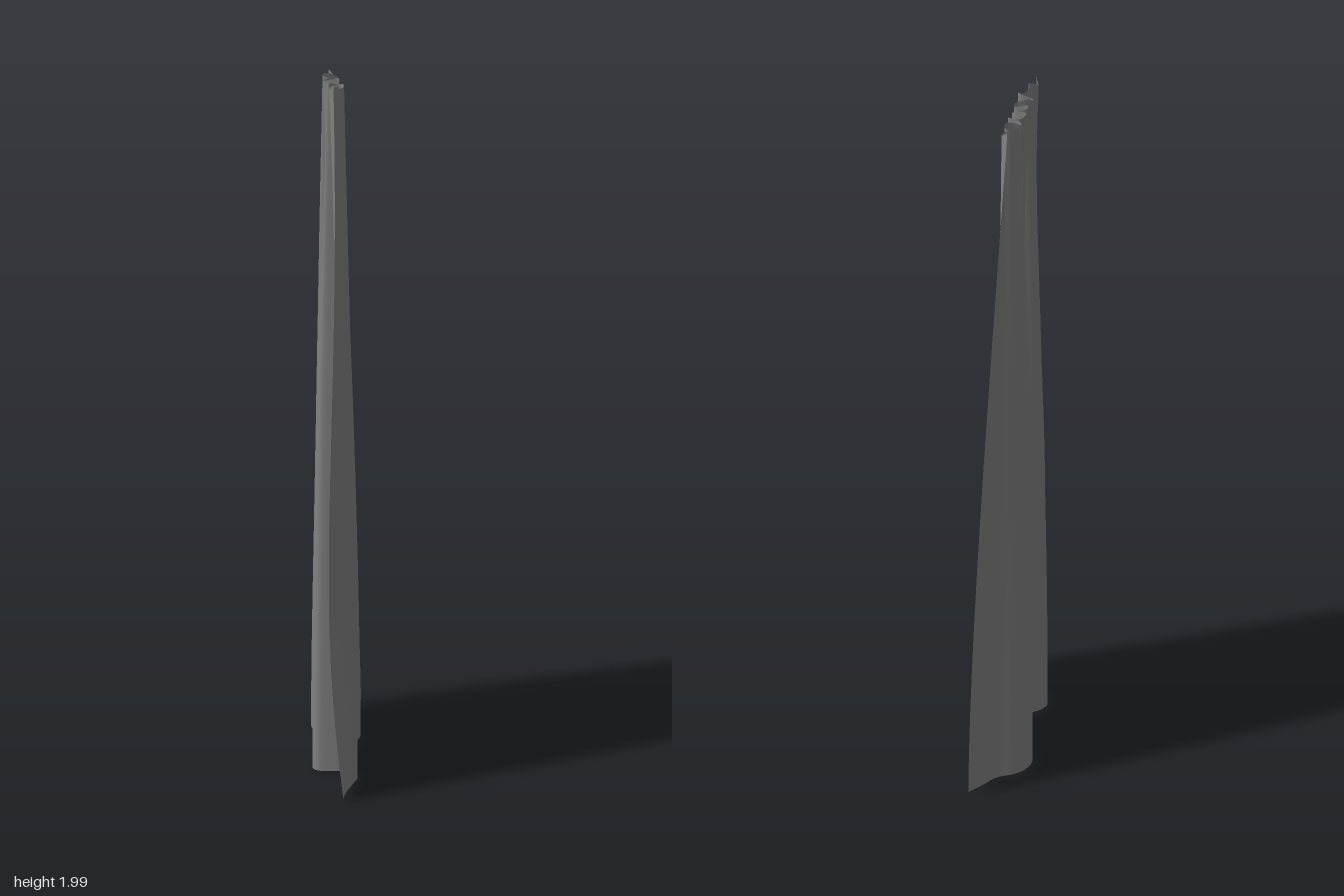
import * as THREE from 'three';

// Hem outlines as [x, z] pairs, running from the back edge to the front edge.
// Matching entries lie on the same pleat line.
const TOP = [
  [-0.02, -0.28], [-0.01, -0.26], [0, -0.24], [-0.025, -0.225], [-0.04, -0.205], [-0.01, -0.195],
  [0.002, -0.175], [-0.01, -0.155], [-0.04, -0.14], [-0.03, -0.12], [0, -0.11], [0, -0.09],
  [-0.03, -0.08], [-0.04, -0.06], [-0.005, -0.045], [0, -0.025], [-0.035, -0.015], [-0.035, 0.01],
  [0, 0.02], [0.004, 0.04], [-0.03, 0.055], [-0.035, 0.075], [-0.04, 0.09], [-0.005, 0.098],
  [0.005, 0.115], [-0.01, 0.14], [-0.02, 0.165], [-0.015, 0.19], [-0.04, 0.205], [-0.035, 0.22],
  [-0.03, 0.24],
];
const BOTTOM = [
  [0.085, -0.375], [0.05, -0.335], [0.015, -0.29], [-0.04, -0.26], [-0.07, -0.225], [-0.08, -0.19],
  [-0.075, -0.16], [-0.05, -0.143], [-0.01, -0.143], [0.02, -0.146], [0.05, -0.143], [0.067, -0.115],
  [0.06, -0.08], [0.04, -0.05], [0.02, -0.03], [0.008, 0], [0.004, 0.02], [0, 0.04],
  [-0.02, 0.065], [-0.05, 0.08], [-0.075, 0.1], [-0.088, 0.13], [-0.075, 0.155], [-0.03, 0.165],
  [0.01, 0.17], [0.03, 0.185], [0.04, 0.215], [0.03, 0.25], [0.01, 0.3], [0, 0.33],
  [-0.01, 0.372],
];

// Swells between the hems: place across, reach, shift in x and z, and how low they sit
const SWELLS = [
  { at: 0, reach: 0.12, dx: -0.01, dz: -0.01, low: 0.8 },
  { at: 0.82, reach: 0.08, dx: 0.012, dz: 0, low: 1 },
  { at: 1, reach: 0.15, dx: -0.036, dz: 0, low: 2 },
];

const toCurve = (points) =>
  new THREE.CatmullRomCurve3(points.map(([x, z]) => new THREE.Vector3(x, 0, z)));

export function createModel() {
  const group = new THREE.Group();
  group.name = 'curtain';

  const across = 180, down = 40;
  const top = toCurve(TOP), bottom = toCurve(BOTTOM);
  const geometry = new THREE.PlaneGeometry(1, 1, across, down);
  const position = geometry.attributes.position;
  const p = new THREE.Vector3();

  // Gathered pleats at the top relax into broad folds at the floor
  for (let i = 0; i <= across; i++) {
    const u = i / across;
    const a = top.getPoint(u), b = bottom.getPoint(u);
    const edge = Math.abs(2 * u - 1);
    const yTop = 1.982 + 0.012 * edge ** 2 + 0.006 * Math.cos(18 * Math.PI * u);
    const yBottom = 0.008 + 0.009 * edge ** 2;
    for (let j = 0; j <= down; j++) {
      const v = j / down;
      p.lerpVectors(a, b, 1 - (1 - v) ** 1.6);
      for (const { at, reach, dx, dz, low } of SWELLS) {
        const near = THREE.MathUtils.smoothstep(1 - Math.abs(u - at) / reach, 0, 1);
        const swell = near * Math.sin(Math.PI * v ** low);
        p.x += dx * swell;
        p.z += dz * swell;
      }
      p.y = THREE.MathUtils.lerp(yTop, yBottom, v);
      position.setXYZ(j * (across + 1) + i, p.x, p.y, p.z);
    }
  }
  geometry.computeVertexNormals();

  const cloth = new THREE.Mesh(
    geometry,
    new THREE.MeshStandardMaterial({ color: 0x808080, side: THREE.DoubleSide })
  );
  cloth.name = 'curtainCloth';
  group.add(cloth);
  return group;
}
